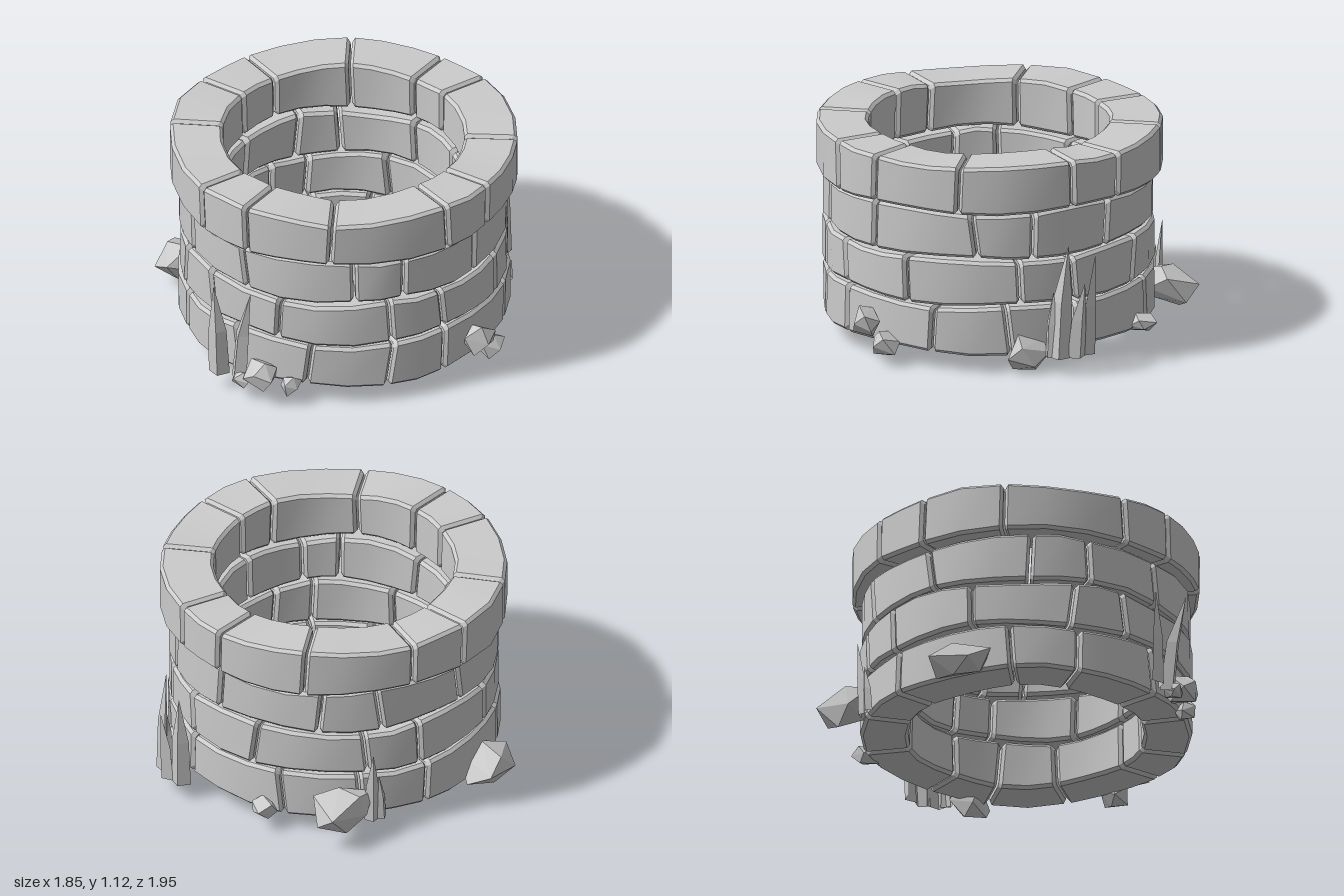
import * as THREE from 'three';
import { toCreasedNormals } from 'three/addons/utils/BufferGeometryUtils.js';
import { ConvexGeometry } from 'three/addons/geometries/ConvexGeometry.js';

const stoneMat = new THREE.MeshStandardMaterial({ color: 0xcccccc });
const rockMat = new THREE.MeshStandardMaterial({ color: 0xcccccc, flatShading: true });
const bladeMat = new THREE.MeshStandardMaterial({ color: 0xcccccc, flatShading: true, side: THREE.DoubleSide });

const RAD = Math.PI / 180;
const CENTRE_Z = 0.015;

function seeded(seed) {
  let s = seed;
  return () => (s = (s * 16807) % 2147483647) / 2147483647;
}

// Courses from the ground up; joint angles run from +z towards +x, in degrees
const COURSES = [
  { y0: 0.105, y1: 0.348, rIn: 0.6, rOut: 0.84, joints: [15, 42, 71, 92, 131, 158, 182, 222, 250, 275, 320, 344] },
  { y0: 0.362, y1: 0.595, rIn: 0.595, rOut: 0.84, joints: [2, 31, 71, 91, 121, 162, 182, 212, 252, 272, 306, 342] },
  { y0: 0.61, y1: 0.85, rIn: 0.595, rOut: 0.835, joints: [17, 58, 76, 107, 146, 167, 197, 236, 257, 290, 327, 348] },
  { y0: 0.865, y1: 1.115, rIn: 0.615, rOut: 0.885, joints: [0, 20, 50, 91, 110, 141, 180, 199, 231, 268, 289, 318] },
];

// One curved block: chamfered section swept along an arc, with chamfered ends
function stoneGeometry(c, k, start, end, bulge, lift) {
  const ch = 0.016, gap = 0.005;
  const mid = (c.y0 + c.y1) / 2;
  const n = Math.max(2, Math.round((end.a - start.a) / (12 * RAD)));
  const stations = [{ t: 0, inset: ch }];
  for (let i = 0; i <= n; i++) stations.push({ t: i / n, inset: 0 });
  stations.push({ t: 1, inset: ch });
  const pos = [], idx = [], last = stations.length - 1;

  stations.forEach(({ t, inset }, i) => {
    const pad = i === 0 ? gap : i === last ? -gap : i === 1 ? gap + ch : i === last - 1 ? -gap - ch : 0;
    const a = THREE.MathUtils.lerp(start.a, end.a, t);
    const slant = THREE.MathUtils.lerp(start.slant, end.slant, t);
    const hump = Math.sin(t * Math.PI);
    const r1 = c.rOut + bulge * hump - inset;
    const r0 = c.rIn + inset;
    const y1 = c.y1 + 0.009 * Math.sin(5 * a + k * 2) + lift * hump - inset;
    const y0 = c.y0 + 0.009 * Math.sin(5 * a + k * 2 - 2) + inset;
    const section = [
      [r1 - ch, y0], [r1, y0 + ch], [r1, y1 - ch], [r1 - ch, y1],
      [r0 + ch, y1], [r0, y1 - ch], [r0, y0 + ch], [r0 + ch, y0],
    ];
    for (const [r, y] of section) {
      const ang = a + pad / r + slant * (y - mid);
      pos.push(r * Math.sin(ang), y, r * Math.cos(ang) + CENTRE_Z);
    }
  });

  for (let i = 0; i < last; i++) {
    for (let j = 0; j < 8; j++) {
      const a = i * 8 + j, b = i * 8 + ((j + 1) % 8);
      idx.push(a, a + 8, b + 8, a, b + 8, b);
    }
  }
  for (let j = 1; j < 7; j++) {
    idx.push(0, j, j + 1);
    idx.push(last * 8, last * 8 + j + 1, last * 8 + j);
  }
  const g = new THREE.BufferGeometry();
  g.setAttribute('position', new THREE.Float32BufferAttribute(pos, 3));
  g.setIndex(idx);
  return toCreasedNormals(g, 0.5);
}

function buildCourse(c, k) {
  const group = new THREE.Group();
  group.name = k === 3 ? 'rimCourse' : 'wallCourse' + (k + 1);
  const rand = seeded(311 + k * 97);
  const joints = c.joints.map((d) => ({ a: d * RAD, slant: (rand() - 0.5) * (k === 3 ? 0.15 : 0.36) }));
  joints.push({ a: joints[0].a + 2 * Math.PI, slant: joints[0].slant });
  for (let i = 0; i < 12; i++) {
    const mesh = new THREE.Mesh(
      stoneGeometry(c, k, joints[i], joints[i + 1], (rand() - 0.4) * 0.022, (rand() - 0.5) * 0.014), stoneMat);
    mesh.name = 'stone';
    group.add(mesh);
  }
  return group;
}

// Angular boulder: convex hull of jittered sphere points fitted to a box
function buildRock(x, y, z, w, h, d, seed) {
  const rand = seeded(seed * 7919 + 13);
  const pts = [], n = 10;
  for (let i = 0; i < n; i++) {
    const v = 1 - (2 * (i + 0.5)) / n, r = Math.sqrt(1 - v * v), a = i * 2.4 + rand() * 0.8;
    pts.push(new THREE.Vector3(r * Math.cos(a), v, r * Math.sin(a)).multiplyScalar(0.8 + 0.3 * rand()));
  }
  const box = new THREE.Box3().setFromPoints(pts);
  const size = box.getSize(new THREE.Vector3()), mid = box.getCenter(new THREE.Vector3());
  pts.forEach((p) => p.sub(mid).divide(size).multiply(new THREE.Vector3(w, h, d)));
  const mesh = new THREE.Mesh(new ConvexGeometry(pts), rockMat);
  mesh.position.set(x, y, z);
  mesh.name = 'rock';
  return mesh;
}

// Grass blade: folded strip from base to tip, its ridge facing the given angle
function buildBlade(base, tip, width, facing) {
  const a = facing * RAD;
  const side = new THREE.Vector3(Math.cos(a), 0, -Math.sin(a));
  const out = new THREE.Vector3(Math.sin(a), 0, Math.cos(a));
  const b = new THREE.Vector3(...base), t = new THREE.Vector3(...tip);
  const pos = [], idx = [];
  [[0, 0, 1], [0.5, 0.3, 0.85], [1, 1, 0.02]].forEach(([h, lean, s]) => {
    const p = b.clone().lerp(t, lean);
    p.y = THREE.MathUtils.lerp(b.y, t.y, h);
    for (const e of [-1, 0, 1]) {
      const q = p.clone().addScaledVector(side, (e * width * s) / 2);
      if (e === 0) q.addScaledVector(out, width * 0.4 * s);
      pos.push(q.x, q.y, q.z);
    }
  });
  for (let i = 0; i < 2; i++) {
    for (let j = 0; j < 2; j++) {
      const p = i * 3 + j;
      idx.push(p, p + 1, p + 4, p, p + 4, p + 3);
    }
  }
  const g = new THREE.BufferGeometry();
  g.setAttribute('position', new THREE.Float32BufferAttribute(pos, 3));
  g.setIndex(idx);
  g.computeVertexNormals();
  const mesh = new THREE.Mesh(g, bladeMat);
  mesh.name = 'grassBlade';
  return mesh;
}

export function createModel() {
  const well = new THREE.Group();
  well.name = 'stoneWell';
  COURSES.forEach((c, k) => well.add(buildCourse(c, k)));

  // Boulders around the foot: x, y, z, width, height, depth
  const rocks = new THREE.Group();
  rocks.name = 'rocks';
  [
    [-0.75, 0.155, 0.5, 0.28, 0.19, 0.3],
    [-0.82, 0.2, -0.38, 0.22, 0.22, 0.34],
    [0.41, 0.17, 0.82, 0.18, 0.16, 0.17],
    [0.32, 0.12, 0.88, 0.1, 0.08, 0.11],
    [0.51, 0.12, 0.71, 0.1, 0.11, 0.11],
    [0.86, 0.22, -0.22, 0.12, 0.17, 0.17],
    [0.8, 0.125, -0.34, 0.14, 0.13, 0.15],
    [0.23, 0.11, -0.79, 0.22, 0.2, 0.14],
    [-0.5, 0.13, -0.68, 0.13, 0.1, 0.12],
  ].forEach((r, i) => rocks.add(buildRock(...r, i + 1)));
  well.add(rocks);

  // Grass tufts: base, tip, width, facing
  const grass = new THREE.Group();
  grass.name = 'grass';
  [
    [[0.175, 0.1, 0.92], [0.16, 0.61, 0.945], 0.11, 40],
    [[0.28, 0.1, 0.87], [0.39, 0.66, 0.88], 0.1, 10],
    [[-0.06, 0.1, -0.91], [-0.09, 0.62, -0.94], 0.11, 215],
    [[0.1, 0.1, -0.91], [0.06, 0.69, -0.93], 0.12, 145],
    [[0.02, 0.1, -0.94], [0.0, 0.5, -0.995], 0.1, 180],
    [[0.13, 0.1, -0.88], [0.13, 0.45, -0.9], 0.08, 110],
    [[-0.83, 0.1, -0.23], [-0.865, 0.5, -0.24], 0.08, 255],
    [[-0.84, 0.1, -0.18], [-0.85, 0.36, -0.2], 0.06, 280],
  ].forEach((b) => grass.add(buildBlade(...b)));
  well.add(grass);
  return well;
}
